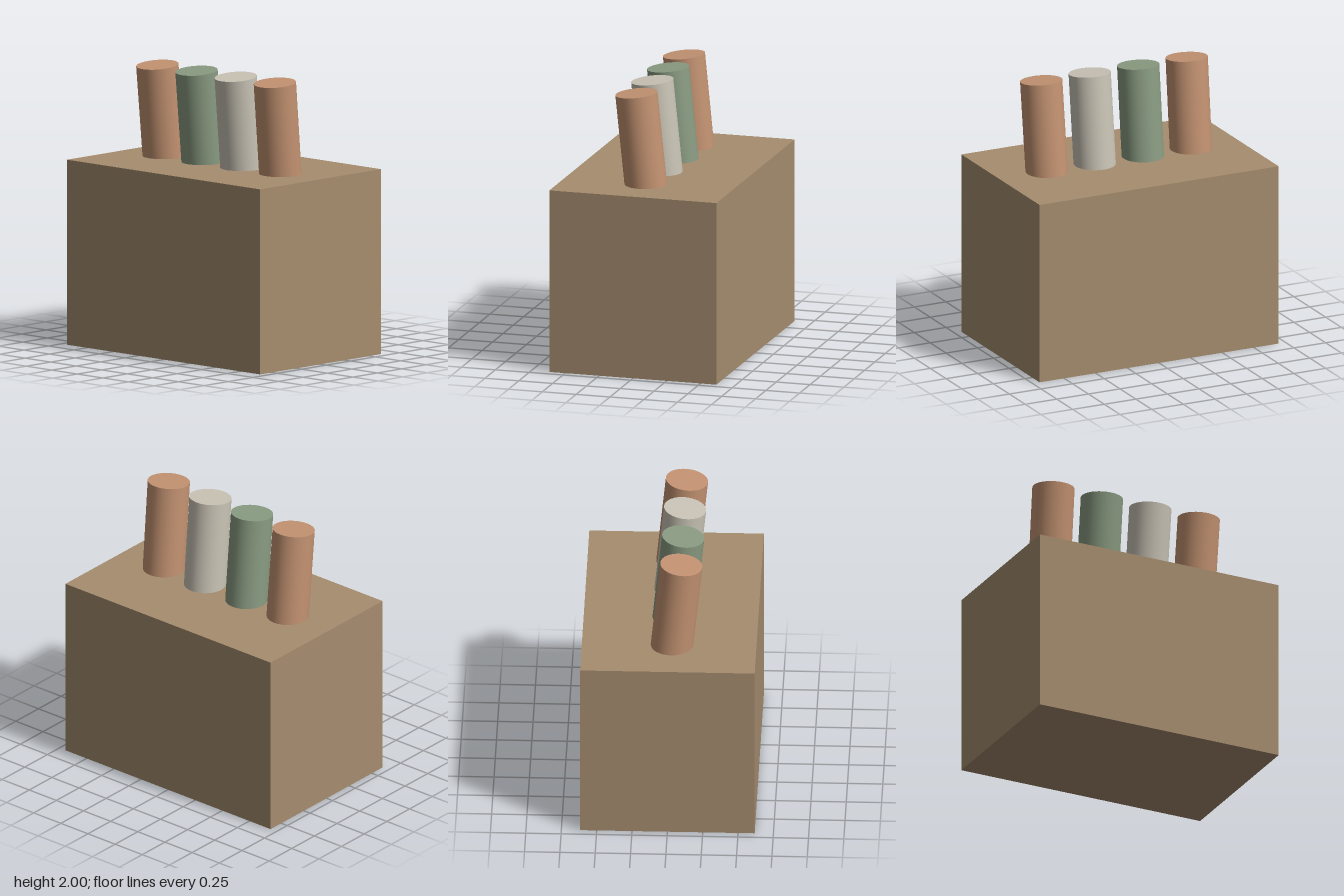
import * as THREE from 'three';

const RADIUS = 0.15, BOX_HEIGHT = 1.325, TOP_Y = 1.985, LEAN = 0.1;

const material = (color) => new THREE.MeshStandardMaterial({ color });

export function createModel() {
  const model = new THREE.Group();
  model.name = 'boxWithTubes';

  // Solid storage box
  const box = new THREE.Mesh(new THREE.BoxGeometry(1.89, BOX_HEIGHT, 1.235), material(0xa68d6f));
  box.name = 'box';
  box.position.y = BOX_HEIGHT / 2;
  model.add(box);

  // Row of closed rolls leaning forward, each tipped a little more sideways
  const terracotta = material(0xc49372);
  const colors = [terracotta, material(0x8a9c82), material(0xcac4b6), terracotta];
  const length = 0.8;
  const geometry = new THREE.CylinderGeometry(RADIUS, RADIUS, length, 32);
  geometry.translate(0, -length / 2, 0); // pivot at the top cap
  colors.forEach((mat, i) => {
    const tip = 0.005 * i;
    const roll = new THREE.Mesh(geometry, mat);
    roll.name = `roll${i + 1}`;
    roll.position.set(-0.57 + 0.38 * i + tip * 0.66, TOP_Y, 0.086);
    roll.rotation.set(LEAN, 0, -tip);
    model.add(roll);
  });

  return model;
}
